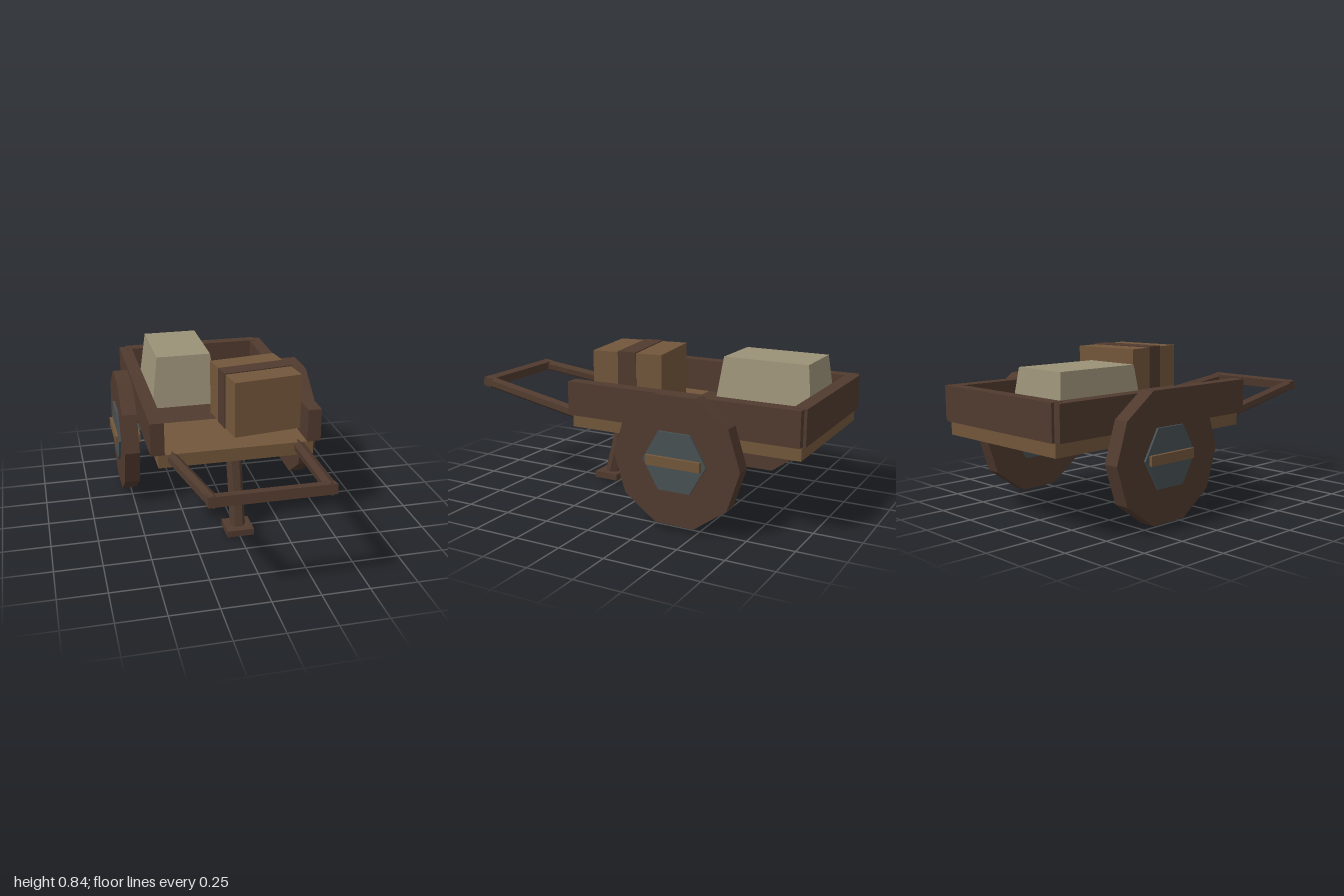
import * as THREE from 'three';

const paint = (name, color) => {
  const m = new THREE.MeshStandardMaterial({ color });
  m.name = name;
  return m;
};

export function createModel() {
  const dark = paint('darkWood', 0x503a2e);
  const light = paint('lightWood', 0x72563a);
  const metal = paint('metal', 0x475053);
  const cloth = paint('cloth', 0x9b9177);

  const cart = new THREE.Group();
  cart.name = 'handcart';

  const add = (name, geometry, material, parent = cart) => {
    const mesh = new THREE.Mesh(geometry, material);
    mesh.name = name;
    parent.add(mesh);
    return mesh;
  };
  // Box given by its two extreme corners
  const box = (name, material, [x0, y0, z0], [x1, y1, z1], parent) => {
    const g = new THREE.BoxGeometry(x1 - x0, y1 - y0, z1 - z0);
    g.translate((x0 + x1) / 2, (y0 + y1) / 2, (z0 + z1) / 2);
    return add(name, g, material, parent);
  };
  // Faceted bar between two points
  const rod = (name, material, a, b, radius, sides = 6, turn = 0) => {
    const from = new THREE.Vector3(...a), to = new THREE.Vector3(...b);
    const dir = to.clone().sub(from);
    const g = new THREE.CylinderGeometry(radius, radius, dir.length(), sides).toNonIndexed();
    g.rotateY(turn);
    g.computeVertexNormals();
    const mesh = add(name, g, material);
    mesh.position.copy(from).add(to).multiplyScalar(0.5);
    mesh.quaternion.setFromUnitVectors(new THREE.Vector3(0, 1, 0), dir.normalize());
    return mesh;
  };

  // Bed of three wide planks
  box('frontPlank', light, [-0.42, 0.417, -0.12], [0.42, 0.49, 0.295]);
  box('middlePlank', dark, [-0.42, 0.417, -0.53], [0.42, 0.49, -0.12]);
  box('backPlank', light, [-0.42, 0.417, -0.98], [0.42, 0.49, -0.53]);

  // Side and back boards
  for (const s of [-1, 1]) {
    const c = s * 0.422;
    box('sideBoard', dark, [c - 0.037, 0.49, -0.985], [c + 0.037, 0.67, 0.298]);
  }
  box('backBoard', dark, [-0.42, 0.488, -1], [0.42, 0.672, -0.93]);

  // Axle, wheels, hubs and the wooden bars across them
  const y = 0.36, z = -0.385;
  rod('axle', metal, [-0.46, y, z], [0.46, y, z], 0.029);
  for (const s of [-1, 1]) {
    rod('wheel', dark, [s * 0.472, y, z], [s * 0.555, y, z], 0.347, 10);
    rod('hub', metal, [s * 0.46, y, z], [s * 0.567, y, z], 0.173);
    const c = s * 0.5125;
    box('hubBar', light, [c - 0.0725, y - 0.025, z - 0.148], [c + 0.0725, y + 0.025, z + 0.148]);
  }

  // Pull handle
  for (const s of [-1, 1]) {
    rod('handleArm', dark, [s * 0.345, 0.459, 0.26], [s * 0.277, 0.564, 0.985], 0.032);
  }
  const grip = add('handleGrip', new THREE.BoxGeometry(0.61, 0.05, 0.052), dark);
  grip.position.set(0, 0.562, 0.966);
  grip.rotation.x = -0.15;

  // Prop leg and its foot
  rod('propLeg', dark, [0, 0.44, 0.209], [0, 0.01, 0.321], 0.042, 6, Math.PI / 6);
  box('propFoot', dark, [-0.073, 0.012, 0.245], [0.073, 0.048, 0.39]);

  // Strapped crate, slightly turned
  const crate = new THREE.Group();
  crate.name = 'crate';
  crate.position.set(0.164, 0.525, 0.025);
  crate.rotation.y = 0.135;
  box('crateBody', light, [-0.19, 0, -0.19], [0.19, 0.307, 0.19], crate);
  box('crateStrap', dark, [-0.195, -0.004, -0.05], [0.195, 0.312, 0.05], crate);
  cart.add(crate);

  // Sack tapering towards its top
  const sackShape = new THREE.BoxGeometry(0.39, 0.298, 0.545);
  const p = sackShape.attributes.position;
  for (let i = 0; i < p.count; i++) {
    if (p.getY(i) > 0) p.setXYZ(i, p.getX(i) * 0.805, p.getY(i), p.getZ(i) * 0.86);
  }
  sackShape.computeVertexNormals();
  add('sack', sackShape, cloth).position.set(-0.154, 0.639, -0.621);

  return cart;
}
